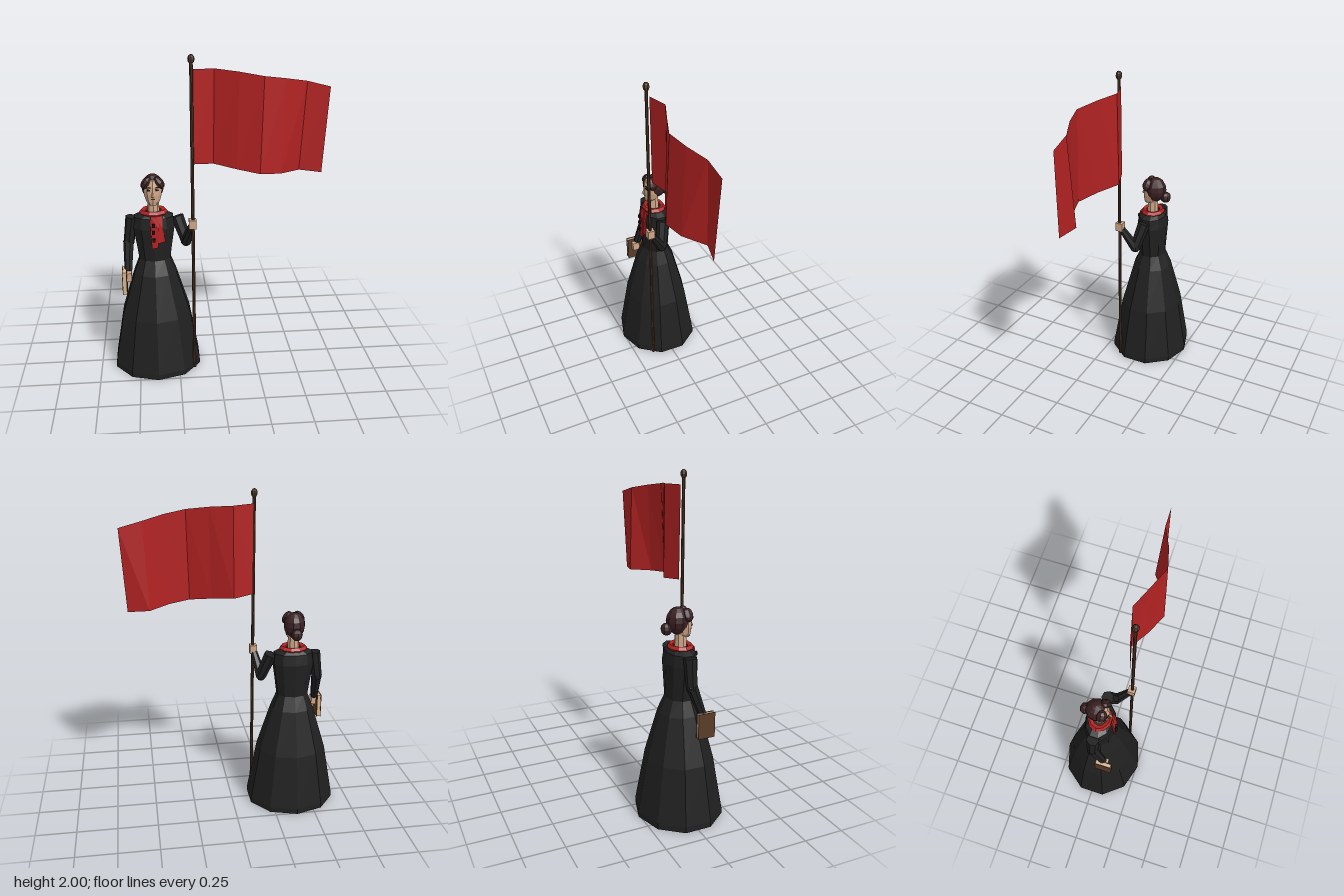
import * as THREE from 'three';

const mat = (name, color) => {
  const m = new THREE.MeshStandardMaterial({ color, flatShading: true });
  m.name = name;
  return m;
};

export function createModel() {
  const cloth = mat('black cloth', 0x202020);
  const red = mat('red cloth', 0xb22222);
  red.side = THREE.DoubleSide;
  const skin = mat('skin', 0xcfa688);
  const hairMat = mat('dark hair', 0x3a2022);
  const wood = mat('pole wood', 0x4e3523);
  const leather = mat('book cover', 0x5a3d28);
  const paper = mat('paper', 0xd6b48e);
  const ink = mat('near black', 0x141212);

  const model = new THREE.Group();
  const woman = new THREE.Group();
  woman.name = 'woman';
  woman.position.x = -0.386;
  model.add(woman);

  const add = (parent, name, geo, material, x = 0, y = 0, z = 0) => {
    const m = new THREE.Mesh(geo, material);
    m.name = name;
    m.position.set(x, y, z);
    parent.add(m);
    return m;
  };
  const box = (parent, name, material, size, pos) =>
    add(parent, name, new THREE.BoxGeometry(...size), material, ...pos);
  const ball = (parent, name, material, radii, pos, w = 8, h = 6) => {
    const m = add(parent, name, new THREE.SphereGeometry(1, w, h), material, ...pos);
    m.scale.set(...radii);
    return m;
  };
  // Closed body from elliptical rings [y, radiusX, radiusZ, centreZ], bottom to top
  const loft = (rings, sides) => {
    const n = rings.length - 1;
    const g = new THREE.CylinderGeometry(1, 1, 1, sides, n);
    const p = g.attributes.position;
    for (let i = 0; i < p.count; i++) {
      const [y, rx, rz, cz = 0] = rings[Math.round((p.getY(i) + 0.5) * n)];
      p.setXYZ(i, p.getX(i) * rx, y, p.getZ(i) * rz + cz);
    }
    g.computeVertexNormals();
    return g;
  };
  // Tapered limb between two points
  const limb = (name, a, b, ra, rb, material) => {
    const A = new THREE.Vector3(...a), B = new THREE.Vector3(...b);
    const d = B.clone().sub(A);
    const m = add(woman, name, new THREE.CylinderGeometry(rb, ra, d.length(), 7), material);
    m.position.copy(A).add(B).multiplyScalar(0.5);
    m.quaternion.setFromUnitVectors(new THREE.Vector3(0, 1, 0), d.normalize());
  };

  // Dress
  add(woman, 'skirt', loft([[0, 0.284, 0.26], [0.035, 0.282, 0.26], [0.37, 0.222, 0.2],
    [0.65, 0.135, 0.125], [0.745, 0.098, 0.082]], 10), cloth);
  add(woman, 'bodice', loft([[0.735, 0.1, 0.084], [0.83, 0.113, 0.088], [0.95, 0.132, 0.093],
    [1.015, 0.124, 0.082], [1.04, 0.07, 0.055]], 10), cloth);

  // Arms
  limb('rightUpperArm', [-0.132, 1.01, 0], [-0.158, 0.83, 0.0], 0.04, 0.033, cloth);
  limb('rightForearm', [-0.158, 0.85, 0.0], [-0.165, 0.675, 0.065], 0.034, 0.024, cloth);
  ball(woman, 'rightElbow', cloth, [0.033, 0.033, 0.033], [-0.158, 0.84, 0], 7, 5);
  limb('leftUpperArm', [0.142, 1.005, 0], [0.194, 0.855, 0.035], 0.04, 0.034, cloth);
  limb('leftForearm', [0.194, 0.85, 0.035], [0.226, 0.98, 0.115], 0.034, 0.022, cloth);
  ball(woman, 'leftElbow', cloth, [0.034, 0.034, 0.034], [0.194, 0.852, 0.035], 7, 5);
  box(woman, 'rightHand', skin, [0.034, 0.055, 0.045], [-0.163, 0.645, 0.078]);
  box(woman, 'leftHand', skin, [0.044, 0.055, 0.046], [0.231, 1.0, 0.126]);

  // Book held at the side
  const book = new THREE.Group();
  book.name = 'book';
  book.position.set(-0.19, 0.617, 0.075);
  woman.add(book);
  box(book, 'pages', paper, [0.02, 0.145, 0.098], [0, 0, 0]);
  for (const s of [-1, 1]) box(book, 'cover', leather, [0.004, 0.152, 0.104], [s * 0.012, 0, 0]);

  // Red scarf: ring and two hanging tails laid on the bodice
  const collar = add(woman, 'scarfCollar', new THREE.TorusGeometry(0.067, 0.021, 5, 10), red, 0, 1.04, 0.002);
  collar.rotation.x = Math.PI / 2;
  collar.scale.set(1, 0.85, 0.9);
  const tail = (name, pts, lift) => {
    const g = new THREE.ExtrudeGeometry(new THREE.Shape(pts.map(p => new THREE.Vector2(...p))),
      { depth: 0.008, bevelEnabled: false });
    const p = g.attributes.position;
    for (let i = 0; i < p.count; i++) {
      const x = p.getX(i), y = p.getY(i);
      p.setZ(i, p.getZ(i) + 0.091 + lift - Math.abs(x) * 0.22 - Math.max(0, y - 0.96) * 0.2);
    }
    g.computeVertexNormals();
    add(woman, name, g, red);
  };
  tail('scarfTailLong', [[-0.02, 1.035], [-0.02, 0.96], [-0.016, 0.83], [0.024, 0.838], [0.03, 0.96], [0.03, 1.035]], 0.004);
  tail('scarfTailShort', [[0.01, 1.035], [0.014, 0.96], [0.026, 0.862], [0.068, 0.872], [0.052, 0.96], [0.054, 1.035]], 0);
  for (const y of [0.985, 0.94, 0.89]) box(woman, 'button', ink, [0.018, 0.02, 0.012], [-0.003, y, 0.103]);

  // Neck and head
  add(woman, 'neck', new THREE.CylinderGeometry(0.034, 0.037, 0.1, 8), skin, 0, 1.08, 0.004);
  add(woman, 'face', loft([[1.098, 0.026, 0.026, 0.033], [1.118, 0.043, 0.046, 0.017],
    [1.16, 0.056, 0.058, 0.008], [1.21, 0.058, 0.06, 0.004], [1.25, 0.044, 0.05, 0.002]], 10), skin);
  const nose = add(woman, 'nose', new THREE.ConeGeometry(0.011, 0.042, 4), skin, 0, 1.175, 0.067);
  nose.rotation.x = -0.2;
  box(woman, 'mouth', hairMat, [0.024, 0.005, 0.006], [0, 1.139, 0.062]);
  for (const s of [-1, 1]) {
    box(woman, 'eye', ink, [0.018, 0.009, 0.008], [s * 0.024, 1.194, 0.057]).rotation.y = s * 0.3;
    box(woman, 'eyebrow', hairMat, [0.023, 0.005, 0.008], [s * 0.025, 1.21, 0.058]).rotation.y = s * 0.3;
    // Front hair swept from the centre parting
    ball(woman, 'frontHair', hairMat, [0.027, 0.042, 0.034], [s * 0.039, 1.232, 0.027]).rotation.z = s * 0.6;
  }
  ball(woman, 'hair', hairMat, [0.067, 0.08, 0.069], [0, 1.194, -0.014], 10, 8);
  ball(woman, 'hairBun', hairMat, [0.036, 0.036, 0.034], [0, 1.152, -0.085]);

  // Flagpole
  const px = -0.153, pz = 0.128;
  add(model, 'flagPole', new THREE.CylinderGeometry(0.01, 0.01, 1.96, 8), wood, px, 0.98, pz);
  ball(model, 'finial', wood, [0.02, 0.027, 0.02], [px, 1.973, pz]);

  // Waving flag: columns of [topX, topY, topZ, bottomX, bottomY, bottomZ]
  const cols = [
    [-0.148, 1.914, 0.112, -0.148, 1.365, 0.108], [-0.02, 1.91, 0.072, -0.025, 1.353, 0.066],
    [0.115, 1.899, 0.125, 0.105, 1.338, 0.14], [0.25, 1.881, 0.175, 0.235, 1.322, 0.194],
    [0.38, 1.861, 0.142, 0.36, 1.31, 0.158], [0.51, 1.834, 0.086, 0.487, 1.3, 0.062],
    [0.648, 1.798, 0.079, 0.617, 1.29, 0.092]];
  const flag = new THREE.PlaneGeometry(1, 1, cols.length - 1, 1);
  cols.forEach((c, i) => {
    flag.attributes.position.setXYZ(i, c[0], c[1], c[2]);
    flag.attributes.position.setXYZ(i + cols.length, c[3], c[4], c[5]);
  });
  flag.computeVertexNormals();
  add(model, 'flag', flag, red);

  return model;
}
